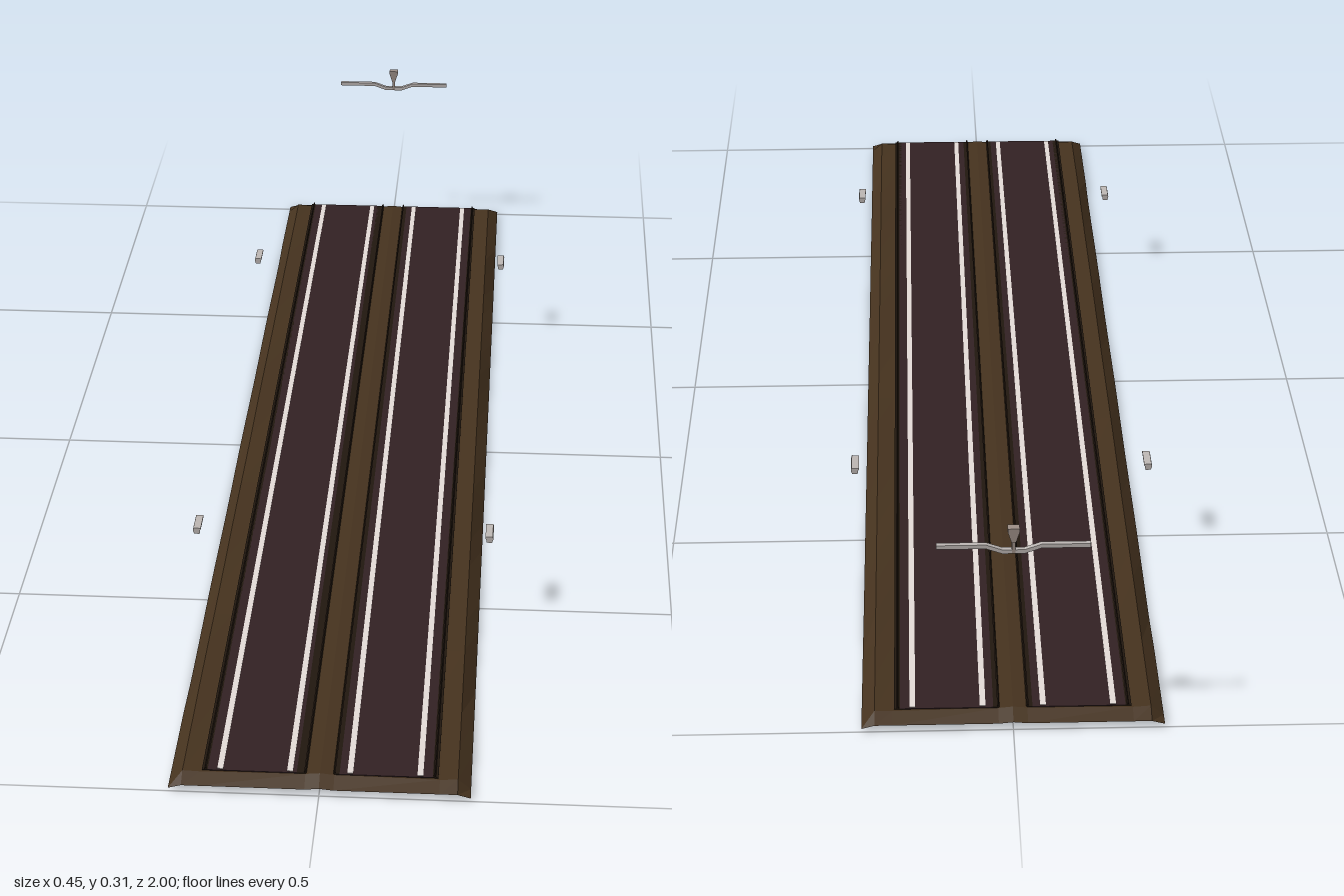
import * as THREE from 'three';

const mat = (name, color, side = THREE.FrontSide) =>
  new THREE.MeshStandardMaterial({ name, color, side, flatShading: true });

export function createModel() {
  const root = new THREE.Group();
  root.name = 'dualCarriageway';
  const earth = mat('earthBrown', 0x45321e, THREE.DoubleSide);
  const asphalt = mat('asphaltMaroon', 0x322123);
  const shoulder = mat('shoulderDark', 0x21170f);
  const paint = mat('linePaint', 0xe2dad6);
  const metal = mat('lampMetal', 0xbcb6b3);
  const bronze = mat('finialBrownGrey', 0x9c8e86);

  const add = (name, geometry, material, x = 0, y = 0, z = 0, parent = root) => {
    const m = new THREE.Mesh(geometry, material);
    m.name = name;
    m.position.set(x, y, z);
    parent.add(m);
    return m;
  };
  const strip = (name, x, y, w, h, len, material) =>
    add(name, new THREE.BoxGeometry(w, h, len), material, x, y, 0);

  // Embankment: an open sheet with sloping verges and ends
  const xs = [-0.208, -0.19, -0.165, -0.02, 0, 0.02, 0.165, 0.19, 0.208];
  const zs = [-1, -0.978];
  for (let i = 1; i < 24; i++) zs.push(-0.978 + (i / 24) * 1.956);
  zs.push(0.978, 1);
  const ground = new THREE.PlaneGeometry(1, 1, xs.length - 1, zs.length - 1).rotateX(-Math.PI / 2);
  const pos = ground.attributes.position;
  zs.forEach((z, j) => xs.forEach((x, i) => {
    const edge = i === 0 || i === xs.length - 1;
    const verge = i === 1 || i === xs.length - 2;
    const end = j === 0 || j === zs.length - 1;
    const wave = Math.sin(j * 1.1 + i * 2.3);
    let y = i >= 3 && i <= 5 ? 0.0205 : 0.0185;
    if (i === 4) y = 0.0225;
    if (verge) y = 0.0205 + 0.001 * wave;
    if (end) y = i === 4 ? 0.012 : 0.01;
    if (edge) y = Math.abs(z) > 0.8 ? 0.005 : 0.0015 + 0.0015 * wave;
    pos.setXYZ(j * xs.length + i, x, y, z);
  }));
  ground.computeVertexNormals();
  add('embankment', ground, earth);

  // Carriageways, shoulders, lane lines and kerb rails on both sides
  for (const s of [-1, 1]) {
    strip('carriageway', s * 0.091, 0.0214, 0.128, 0.001, 1.956, asphalt);
    for (const x of [0.157, 0.026]) strip('shoulder', s * x, 0.0214, 0.012, 0.001, 1.956, shoulder);
    for (const x of [0.138, 0.0415]) strip('edgeLine', s * x, 0.0222, 0.008, 0.001, 1.95, paint);
    for (const [x, lean] of [[0.158, 0.35], [0.02, -0.35]]) {
      const rail = strip('kerbRail', s * x, 0.0235, 0.002, 0.004, 1.956, shoulder);
      rail.rotation.z = s * lean;
    }
  }

  // Extrudes an outline in x and y, centred on z
  const extrude = (points, depth) => {
    const shape = new THREE.Shape(points.map(([x, y]) => new THREE.Vector2(x, y)));
    return new THREE.ExtrudeGeometry(shape, { depth, bevelEnabled: false }).translate(0, 0, -depth / 2);
  };

  // Four roadside lamp heads
  const lampOutline = [[-0.004, -0.005], [0.004, -0.005], [0.005, 0.001], [0.006, 0.002],
    [0.006, 0.0045], [-0.005, 0.005], [-0.006, 0.001]];
  for (const s of [-1, 1]) for (const z of [-0.49, 0.49]) {
    const lamp = add('lampHead', extrude(lampOutline, 0.04), metal, s * 0.221, 0.1275, z);
    if (s > 0) lamp.rotation.y = Math.PI;
  }

  // Overhead cross arm with a dipped middle and a flared finial
  const arm = new THREE.Group();
  arm.name = 'overheadArm';
  arm.position.z = -0.978;
  root.add(arm);
  const top = [[-0.103, 0.2845], [-0.037, 0.2845], [-0.015, 0.2765], [0.015, 0.2765], [0.037, 0.2845], [0.103, 0.2845]];
  const under = top.map(([x, y]) => [x, y - 0.006]).reverse();
  add('crossArm', extrude([...under, ...top], 0.007), metal, 0, 0, 0, arm);
  add('stem', new THREE.BoxGeometry(0.005, 0.02, 0.008), bronze, 0, 0.281, 0, arm);
  const flare = [[-0.003, 0.289], [0.003, 0.289], [0.008, 0.305], [0.008, 0.31], [-0.008, 0.31], [-0.008, 0.305]];
  add('finial', extrude(flare, 0.012), bronze, 0, 0, 0, arm);

  return root;
}
